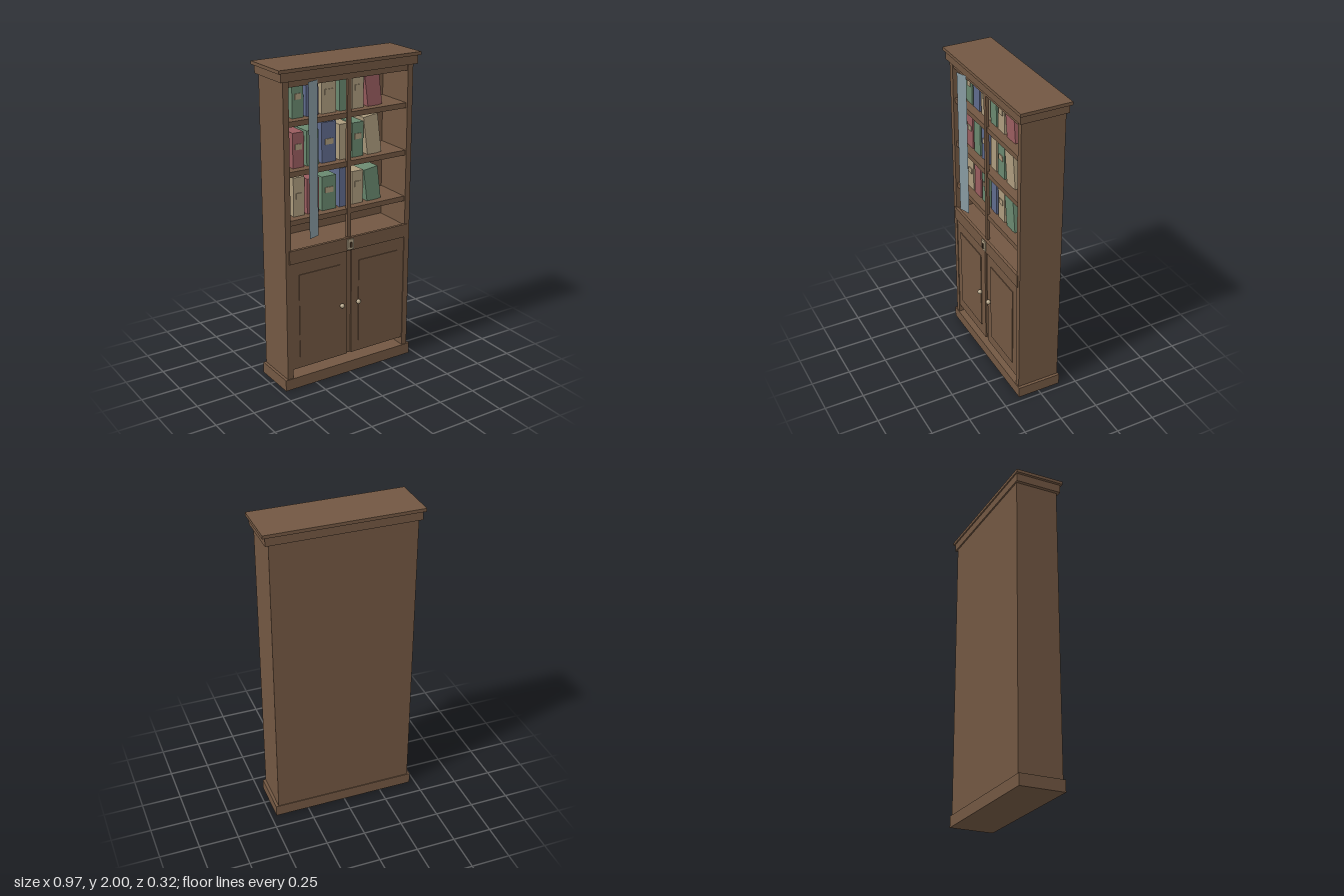
import * as THREE from 'three';

const mat = (name, color, side = THREE.FrontSide) => {
  const m = new THREE.MeshStandardMaterial({ color, side });
  m.name = name;
  return m;
};

export function createModel() {
  const wood = mat('wood', 0x725742);
  const green = mat('bookGreen', 0x69886f);
  const red = mat('bookRed', 0x995c5f);
  const blue = mat('bookBlue', 0x5f6a8c);
  const cream = mat('bookCream', 0xac9b7d);
  const brass = mat('brass', 0xaf9f83);
  const dark = mat('keyholeDark', 0x4a3828);
  const glass = mat('glass', 0x8799a1, THREE.DoubleSide);

  const model = new THREE.Group();
  model.name = 'bookcase';

  // Box given by its min and max on each axis
  const box = (name, m, x0, x1, y0, y1, z0, z1, parent = model) => {
    const mesh = new THREE.Mesh(new THREE.BoxGeometry(x1 - x0, y1 - y0, z1 - z0), m);
    mesh.position.set((x0 + x1) / 2, (y0 + y1) / 2, (z0 + z1) / 2);
    mesh.name = name;
    parent.add(mesh);
    return mesh;
  };

  // Carcass: plinth, cornice, sides and back
  box('plinth', wood, -0.465, 0.465, 0, 0.072, -0.148, 0.138);
  box('corniceLower', wood, -0.468, 0.468, 1.928, 1.98, -0.152, 0.148);
  box('corniceUpper', wood, -0.485, 0.485, 1.98, 2, -0.16, 0.157);
  box('backPanel', wood, -0.41, 0.41, 0.072, 1.928, -0.143, -0.125);
  for (const s of [-1, 1])
    box('sidePanel', wood, Math.min(s * 0.41, s * 0.447), Math.max(s * 0.41, s * 0.447), 0.072, 1.928, -0.143, 0.132);
  box('topBoard', wood, -0.41, 0.41, 1.89, 1.928, -0.125, 0.125);

  // Shelves and the board between the two halves
  const shelfTops = [1.692, 1.395, 1.098];
  for (const y of shelfTops) box('shelf', wood, -0.41, 0.41, y - 0.032, y, -0.125, 0.12);
  box('middleBoard', wood, -0.41, 0.41, 0.84, 0.91, -0.125, 0.125);
  box('middleRail', wood, -0.425, 0.425, 0.832, 0.916, 0.12, 0.139);
  box('upperMullion', wood, -0.013, 0.013, 0.916, 1.89, 0.105, 0.125);
  box('lowerMullion', wood, -0.016, 0.016, 0.128, 0.835, 0.095, 0.118);

  // Cupboard doors with raised panels and round knobs
  for (const s of [-1, 1]) {
    const door = new THREE.Group();
    door.name = s > 0 ? 'leftDoor' : 'rightDoor';
    model.add(door);
    const span = (a, b) => (s > 0 ? [a, b] : [-b, -a]);
    box('doorLeaf', wood, ...span(0.016, 0.409), 0.128, 0.828, 0.105, 0.128, door);
    box('doorPanel', wood, ...span(0.068, 0.358), 0.202, 0.75, 0.126, 0.133, door);
    const knob = new THREE.Mesh(new THREE.SphereGeometry(0.015, 20, 14), brass);
    knob.position.set(s * 0.06, 0.477, 0.145);
    knob.name = 'knob';
    door.add(knob);
  }

  // Lock plate with keyhole
  box('lockPlate', brass, -0.023, 0.023, 0.84, 0.907, 0.138, 0.146);
  box('keyhole', dark, -0.006, 0.006, 0.856, 0.888, 0.145, 0.153);

  // Narrow glass pane standing slightly ajar
  const x0 = -0.297, x1 = -0.222, z0 = 0.157, z1 = 0.132;
  const pane = new THREE.Mesh(new THREE.PlaneGeometry(Math.hypot(x1 - x0, z1 - z0), 0.94), glass);
  pane.position.set((x0 + x1) / 2, 1.445, (z0 + z1) / 2);
  pane.rotation.y = Math.atan2(z0 - z1, x1 - x0);
  pane.name = 'glassPane';
  model.add(pane);

  // Books: x ranges shared by every row, colours and heights per row
  const slots = [[-0.353, -0.278], [-0.26, -0.178], [-0.157, -0.058], [-0.035, 0.035], [0.056, 0.135], [0.167, 0.268]];
  const rows = [
    { colors: [green, blue, cream, green, cream, red], heights: [0.197, 0.197, 0.197, 0.197, 0.197, 0.195], label: 1.818 },
    { colors: [red, green, blue, cream, green, cream], heights: [0.212, 0.212, 0.245, 0.217, 0.212, 0.245], label: 1.522 },
    { colors: [cream, red, green, blue, cream, green], heights: [0.24, 0.217, 0.212, 0.244, 0.208, 0.212], label: 1.224 },
  ];
  rows.forEach(({ colors, heights, label }, r) => {
    const row = new THREE.Group();
    row.name = 'bookRow';
    model.add(row);
    slots.forEach(([a, b], i) => {
      const y = shelfTops[r];
      const book = box('book', colors[i], a, b, y, y + heights[i], -0.11, 0.07, row);
      if (i === 5) {
        // The last book leans on its neighbour
        book.geometry.translate((a - b) / 2, heights[i] / 2, 0);
        book.geometry.rotateZ(0.13);
        book.position.set(b, y, -0.02);
        book.geometry.computeBoundingBox();
        book.position.y -= book.geometry.boundingBox.min.y * 0.3;
      } else if (i % 2 === 0) {
        const c = (a + b) / 2, w = (b - a) * 0.28;
        box('bookLabel', cream, c - w, c + w, label - 0.017, label + 0.017, 0.069, 0.075, row);
      }
    });
  });

  return model;
}
